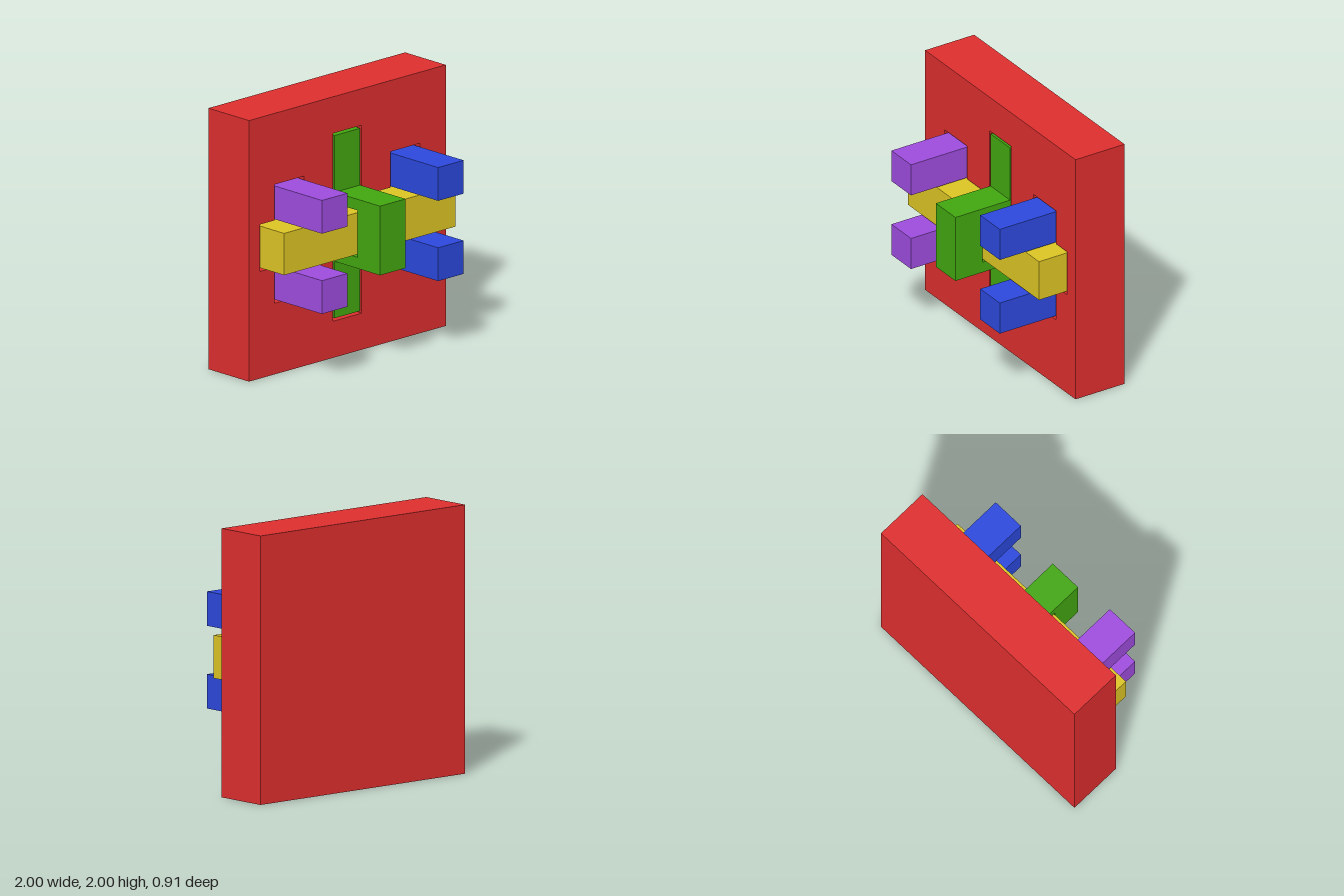
import * as THREE from 'three';

const FRONT = 0.455, FACE = -0.025, FLOOR = -0.3, BACK = -0.455;

function material(color) {
  return new THREE.MeshStandardMaterial({ color, flatShading: true });
}

function shapeFrom(points) {
  return new THREE.Shape(points.map(([x, y]) => new THREE.Vector2(x, y)));
}

function add(parent, name, geometry, mat) {
  const mesh = new THREE.Mesh(geometry, mat);
  mesh.name = name;
  parent.add(mesh);
  return mesh;
}

// Box given by its lower and upper corners
function boxBetween(a, b) {
  const g = new THREE.BoxGeometry(b[0] - a[0], b[1] - a[1], b[2] - a[2]);
  return g.translate((a[0] + b[0]) / 2, (a[1] + b[1]) / 2, (a[2] + b[2]) / 2);
}

// Side profile of [z, y] points, extruded along x about a centre
function sideExtrude(profile, width, x) {
  const shape = shapeFrom(profile.map(([z, y]) => [-z, y]));
  const g = new THREE.ExtrudeGeometry(shape, { depth: width, bevelEnabled: false });
  return g.translate(0, 0, -width / 2).rotateY(Math.PI / 2).translate(x, 0, 0);
}

// Profile mirrored about the height y = 1
function mirrored(upper) {
  return [...upper, ...upper.map(([z, y]) => [z, 2 - y]).reverse()];
}

export function createModel() {
  const model = new THREE.Group();
  model.name = 'interlockingBlockPuzzle';

  // Board: a frame with crossing slots, closed by a back plate
  const red = material(0xdd2e2e);
  const board = new THREE.Group();
  board.name = 'board';
  model.add(board);
  const face = shapeFrom([[-1, 0], [1, 0], [1, 2], [-1, 2]]);
  const quarter = [
    [0.89, 1.18], [0.74, 1.18], [0.74, 1.455], [0.44, 1.455],
    [0.44, 1.18], [0.145, 1.18], [0.145, 1.72],
  ];
  const top = [...quarter, ...quarter.map(([x, y]) => [-x, y]).reverse()];
  const outline = [...top, ...top.map(([x, y]) => [x, 2 - y]).reverse()];
  face.holes.push(shapeFrom(outline));
  const frame = new THREE.ExtrudeGeometry(face, { depth: FACE - FLOOR, bevelEnabled: false });
  add(board, 'slottedFrame', frame.translate(0, 0, FLOOR), red);
  add(board, 'backPlate', boxBetween([-1, 0, BACK], [1, 2, FLOOR]), red);

  // Horizontal bar lying in the long slot
  add(model, 'crossBar', boxBetween([-0.87, 0.84, -0.11], [0.87, 1.16, 0.21]), material(0xdcc424));

  // Two U-shaped blocks whose prongs hold the bar above and below
  const fork = mirrored([[FLOOR, 1.435], [FRONT, 1.435], [FRONT, 1.18], [-0.13, 1.18]]);
  // Reorder so the outline runs base, upper prong, lower prong
  for (const [name, x, color] of [['leftFork', 0.59, 0x2c48dc], ['rightFork', -0.59, 0x9d4cdd]]) {
    add(model, name, sideExtrude(fork, 0.26, x), material(color));
  }

  // Tall central block: flush ends and a raised arch over the bar
  const arch = mirrored([
    [0.215, 1.18], [FLOOR, 1.18], [FLOOR, 1.7], [FACE, 1.7], [FACE, 1.265], [FRONT, 1.265],
  ]);
  add(model, 'centralArch', sideExtrude(arch, 0.26, 0), material(0x42a610));

  return model;
}
